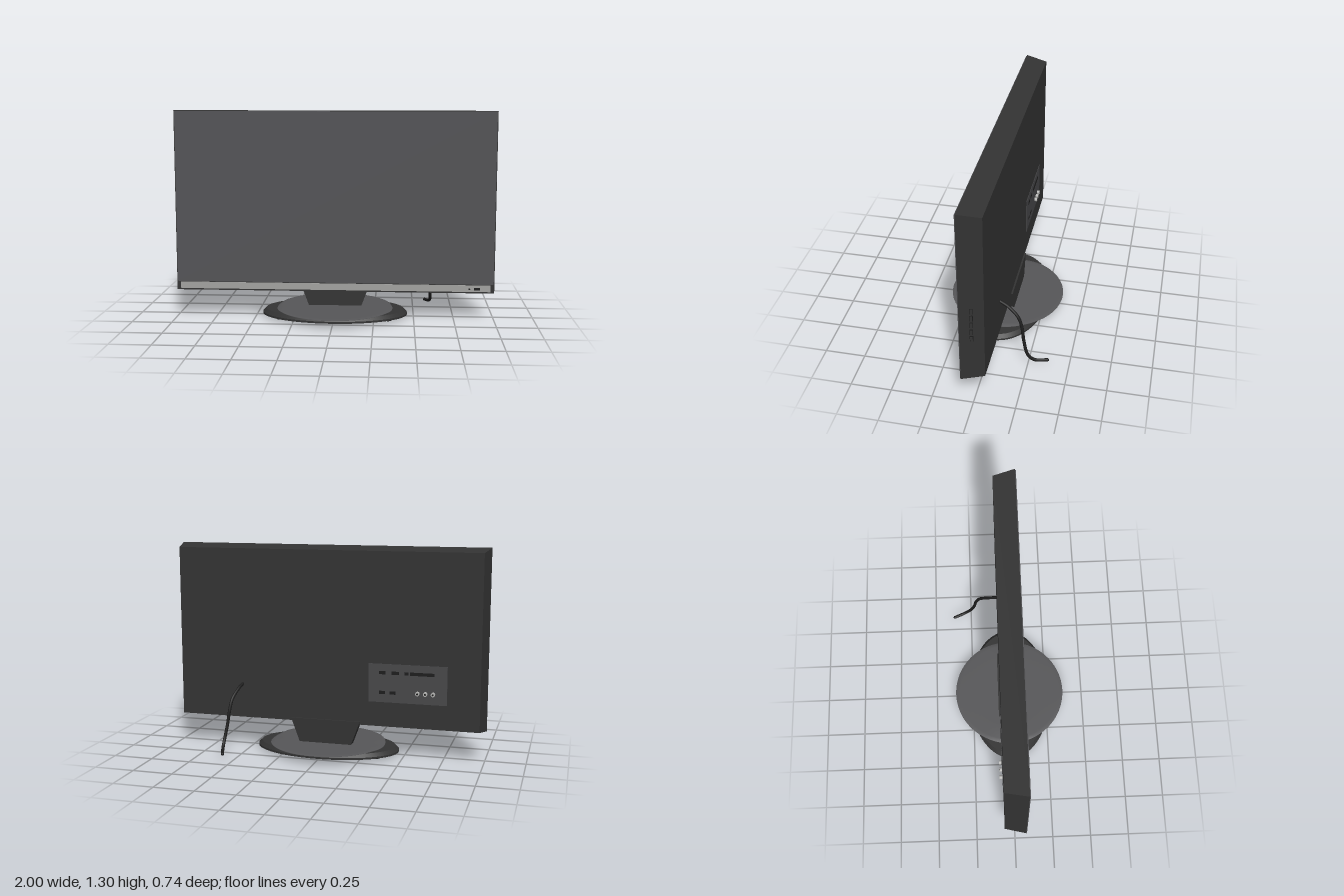
import * as THREE from 'three';

const material = (name, color, side = THREE.FrontSide) => {
  const m = new THREE.MeshStandardMaterial({ color, side });
  m.name = name;
  return m;
};

export function createModel() {
  const model = new THREE.Group();
  model.name = 'monitor';

  const casing = material('casing black', 0x333333);
  const glass = material('screen grey', 0x525255);
  const silver = material('trim silver', 0xa2a2a0);
  const plateGrey = material('stand grey', 0x565658, THREE.DoubleSide);
  const panelGrey = material('panel grey', 0x48484a);
  const dark = material('port black', 0x1c1c1c);
  const metal = material('jack metal', 0xb4b4b2);

  const add = (name, geometry, mat, x = 0, y = 0, z = 0, parent = model) => {
    const mesh = new THREE.Mesh(geometry, mat);
    mesh.name = name;
    mesh.position.set(x, y, z);
    parent.add(mesh);
    return mesh;
  };
  const box = (name, mat, w, h, d, x, y, z, parent) =>
    add(name, new THREE.BoxGeometry(w, h, d), mat, x, y, z, parent);

  // Casing: a box narrowing towards the back
  const shell = new THREE.BoxGeometry(2, 1.135, 0.138);
  const p = shell.attributes.position;
  for (let i = 0; i < p.count; i++) {
    if (p.getZ(i) < 0) {
      p.setX(i, p.getX(i) * 0.97);
      p.setY(i, p.getY(i) * 0.96);
    }
  }
  shell.computeVertexNormals();
  add('casing', shell, casing, 0, 0.7375, 0.003);

  // Front face: screen, lower bezel and silver trim
  box('screen', glass, 1.99, 1.074, 0.006, 0, 0.763, 0.074);
  box('lowerBezel', casing, 1.99, 0.052, 0.005, 0, 0.199, 0.0735);
  box('trimStrip', silver, 1.95, 0.042, 0.008, 0, 0.201, 0.075);
  box('sensorWindow', dark, 0.038, 0.014, 0.003, 0.892, 0.198, 0.0795);
  const light = add('powerLight', new THREE.CylinderGeometry(0.006, 0.006, 0.003, 16), dark, 0.845, 0.198, 0.0795);
  light.rotation.x = Math.PI / 2;

  // Control buttons on the sloping left side
  for (let i = 0; i < 5; i++) {
    const y = 0.475 + i * 0.049;
    const rim = box('buttonRim', dark, 0.006, 0.037, 0.02, 0.986, y, 0.004);
    const cap = box('button', casing, 0.01, 0.03, 0.014, 0.987, y, 0.004);
    rim.rotation.y = cap.rotation.y = 0.21;
  }

  // Connector panel on the back
  const connectors = new THREE.Group();
  connectors.name = 'connectorPanel';
  model.add(connectors);
  box('panel', panelGrey, 0.49, 0.242, 0.004, -0.523, 0.469, -0.067, connectors);
  const ports = [
    [-0.364, 0.535, 0.042], [-0.445, 0.535, 0.046], [-0.517, 0.535, 0.025], [-0.613, 0.535, 0.15],
    [-0.364, 0.41, 0.036], [-0.43, 0.41, 0.036],
  ];
  for (const [x, y, w] of ports) box('port', dark, w, 0.02, 0.004, x, y, -0.069, connectors);
  for (const x of [-0.587, -0.635, -0.683]) {
    const jack = add('jack', new THREE.CylinderGeometry(0.013, 0.013, 0.02, 16), metal, x, 0.415, -0.077, connectors);
    const hole = add('jackHole', new THREE.CylinderGeometry(0.006, 0.006, 0.002, 12), dark, x, 0.415, -0.0875, connectors);
    jack.rotation.x = hole.rotation.x = Math.PI / 2;
  }

  // Neck: a trapezoid widening upwards
  const neckShape = new THREE.Shape([
    new THREE.Vector2(-0.165, 0.05), new THREE.Vector2(0.165, 0.05),
    new THREE.Vector2(0.225, 0.212), new THREE.Vector2(-0.225, 0.212),
  ]);
  add('neck', new THREE.ExtrudeGeometry(neckShape, { depth: 0.065, bevelEnabled: false }), casing, 0, 0, -0.077);

  // Oval foot of the stand, with a bevelled rim
  const oval = new THREE.CylinderGeometry(0.438, 0.46, 0.022, 64);
  oval.scale(1, 1, 0.6);
  add('standBase', oval, casing, 0, 0.037, 0);
  const rim = new THREE.CylinderGeometry(0.46, 0.46, 0.012, 64);
  rim.scale(1, 1, 0.6);
  add('standBaseRim', rim, casing, 0, 0.02, 0);

  // Round plate on the stand, its left and right edges bent down
  const disc = new THREE.LatheGeometry(
    [[0.367, 0.055], [0.367, 0.058], [0.34, 0.06], [0.25, 0.06], [0.001, 0.06]]
      .map(([r, y]) => new THREE.Vector2(r, y)), 64);
  const q = disc.attributes.position;
  for (let i = 0; i < q.count; i++) {
    q.setY(i, q.getY(i) - Math.max(0, Math.abs(q.getX(i)) - 0.33) * 0.2);
  }
  disc.computeVertexNormals();
  add('standPlate', disc, plateGrey);

  // Small rubber feet
  for (const x of [-0.34, 0.34]) {
    for (const z of [-0.123, 0.123]) {
      add('rubberFoot', new THREE.CylinderGeometry(0.022, 0.018, 0.016, 20), dark, x, 0.008, z);
    }
  }

  // Power cable hanging from the back
  const path = new THREE.CatmullRomCurve3([
    [0.553, 0.415, -0.06], [0.565, 0.387, -0.12], [0.583, 0.335, -0.18], [0.592, 0.27, -0.206],
    [0.604, 0.17, -0.222], [0.616, 0.075, -0.25], [0.61, 0.037, -0.29], [0.583, 0.024, -0.366],
  ].map((v) => new THREE.Vector3(...v)));
  add('powerCable', new THREE.TubeGeometry(path, 48, 0.01, 10), dark);
  const end = add('cableEnd', new THREE.SphereGeometry(0.01, 10, 8), dark);
  end.position.copy(path.getPoint(1));

  return model;
}
